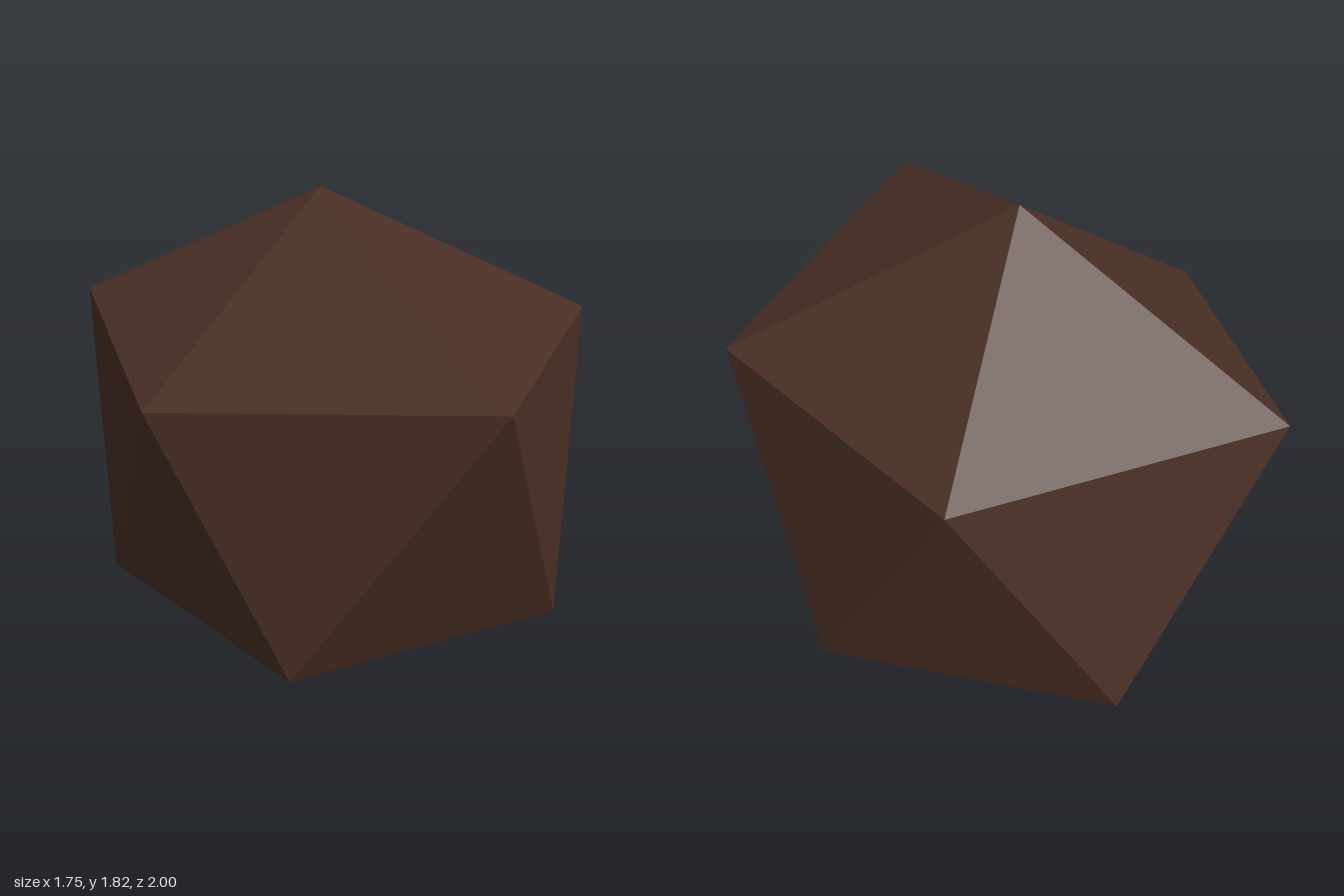
import * as THREE from 'three';

export function createModel() {
  const group = new THREE.Group();
  group.name = 'rock';

  const darkBrown = new THREE.MeshStandardMaterial({ color: 0x4b3026, flatShading: true });
  darkBrown.name = 'dark brown';

  // Irregular twenty-sided stone: two poles and two staggered rings of five
  const top = [-0.09, 1.82, -0.12];
  const bottom = [-0.09, 0, -0.12];
  const upper = [
    [0.255, 1.425, 1.0], [0.875, 1.325, -0.12], [0.195, 1.3, -1.0],
    [-0.875, 1.33, -0.675], [-0.755, 1.255, 0.37],
  ];
  const lower = [
    [0.64, 0.382, 0.41], [0.605, 0.41, -0.625], [-0.355, 0.41, -0.94],
    [-0.865, 0.45, -0.12], [-0.355, 0.41, 0.7],
  ];

  // Cap, zigzag band and base, one sector at a time
  const positions = [];
  const face = (...corners) => corners.forEach((c) => positions.push(...c));
  for (let i = 0; i < 5; i++) {
    const j = (i + 1) % 5;
    face(top, upper[i], upper[j]);
    face(upper[i], lower[i], upper[j]);
    face(lower[i], lower[j], upper[j]);
    face(bottom, lower[j], lower[i]);
  }

  const geometry = new THREE.BufferGeometry();
  geometry.setAttribute('position', new THREE.Float32BufferAttribute(positions, 3));
  geometry.computeVertexNormals();

  const stone = new THREE.Mesh(geometry, darkBrown);
  stone.name = 'stone';
  group.add(stone);
  return group;
}
